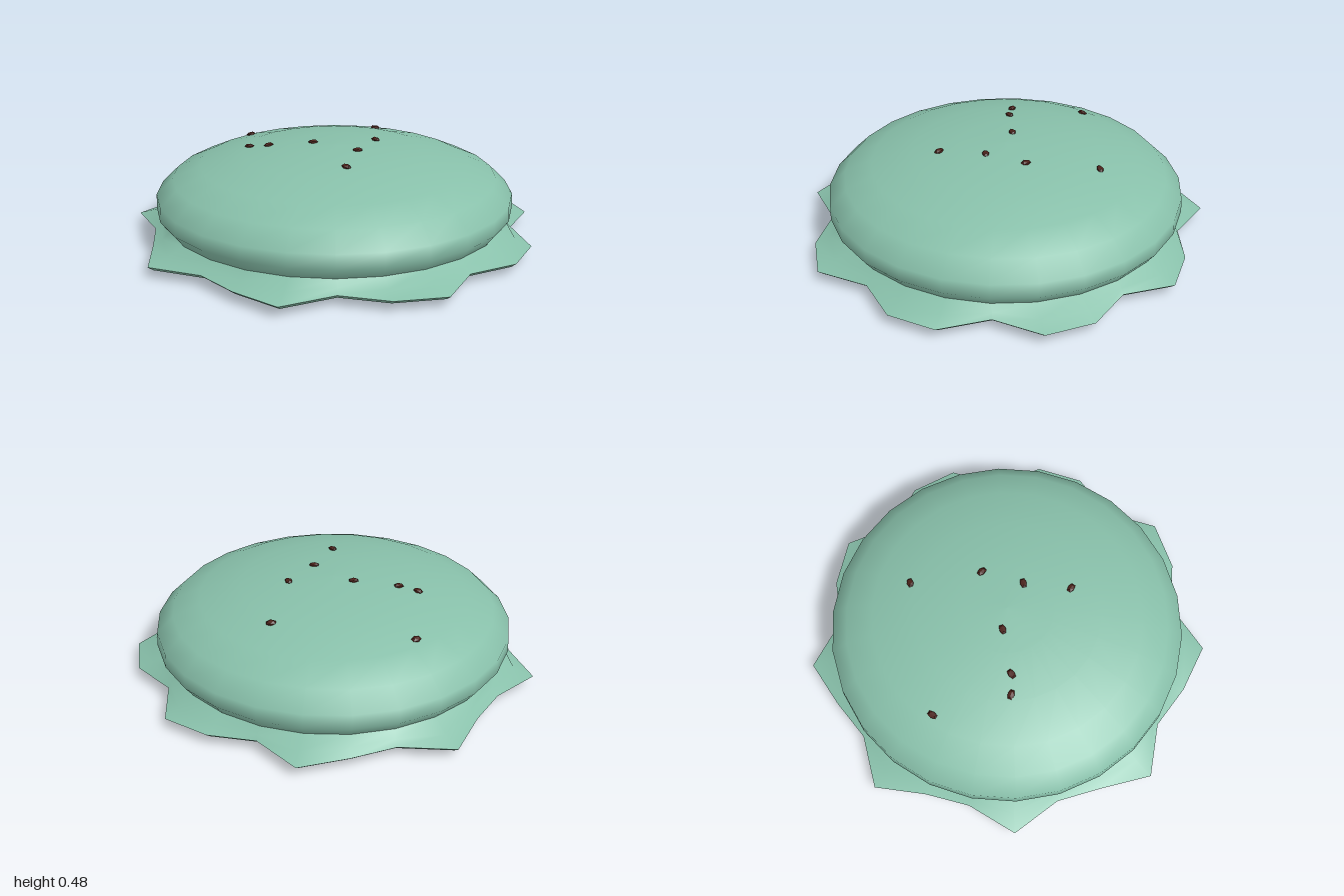
import * as THREE from 'three';

const SIDES = 26;
const PHASE = THREE.MathUtils.degToRad(7);
const CENTRE_Z = 0.012;

// Radius of the ragged skirt edge at each side, counter-clockwise from the front
const EDGE = [
  0.963, 1.033, 0.893, 0.981, 1.029, 0.9, 0.995, 0.995, 0.877, 0.996, 0.978, 0.871, 0.992,
  0.942, 0.867, 1.003, 0.929, 0.894, 1.026, 0.92, 0.907, 1.025, 0.906, 0.935, 1.039, 0.911,
];

// Dome profile as [radius, height], from the neck to the crown
const DOME = [
  [0.845, 0.115], [0.885, 0.17], [0.882, 0.24], [0.8, 0.32], [0.665, 0.38],
  [0.46, 0.432], [0.23, 0.458], [0, 0.463],
];

// Joins rings of { radius(i), y, z } into one smooth surface
function loft(rings) {
  const positions = [];
  const index = [];
  rings.forEach(({ radius, y, z = 0 }, j) => {
    for (let i = 0; i < SIDES; i++) {
      const a = PHASE + (i / SIDES) * Math.PI * 2;
      const r = radius(i);
      positions.push(r * Math.sin(a), y, z + r * Math.cos(a));
      if (j === 0) continue;
      const next = (i + 1) % SIDES;
      const lo = (j - 1) * SIDES;
      const hi = j * SIDES;
      index.push(lo + i, lo + next, hi + next, lo + i, hi + next, hi + i);
    }
  });
  const geometry = new THREE.BufferGeometry();
  geometry.setAttribute('position', new THREE.Float32BufferAttribute(positions, 3));
  geometry.setIndex(index);
  geometry.computeVertexNormals();
  return geometry;
}

// Height of the dome surface at a distance from its axis
function domeHeight(r) {
  for (let i = DOME.length - 1; i > 2; i--) {
    const [r0, y0] = DOME[i];
    const [r1, y1] = DOME[i - 1];
    if (r <= r1) return THREE.MathUtils.mapLinear(r, r0, r1, y0, y1);
  }
  return DOME[2][1];
}

export function createModel() {
  const model = new THREE.Group();
  model.name = 'seededDome';
  const green = new THREE.MeshStandardMaterial({ color: 0x88c0aa });
  green.name = 'sageGreen';
  const brown = new THREE.MeshStandardMaterial({ color: 0x4a2018 });
  brown.name = 'darkBrown';

  const add = (name, geometry, material, parent = model) => {
    const mesh = new THREE.Mesh(geometry, material);
    mesh.name = name;
    parent.add(mesh);
    return mesh;
  };

  // Rounded body
  add('dome', loft(DOME.map(([r, y]) => ({ radius: () => r, y, z: CENTRE_Z }))), green);

  // Ragged skirt: sloping top, thin rim and shallow underside
  const edge = (scale) => (i) => EDGE[i] * scale;
  add('skirtTop', loft([
    { radius: edge(1), y: 0.055 },
    { radius: (i) => EDGE[i] * 0.5 + 0.42, y: 0.08 },
    { radius: () => 0.845, y: 0.115, z: CENTRE_Z },
  ]), green);
  add('skirtRim', loft([
    { radius: edge(0.975), y: 0.035 },
    { radius: edge(1), y: 0.055 },
  ]), green);
  add('underside', loft([
    { radius: () => 0, y: 0 },
    { radius: edge(0.72), y: 0.003 },
    { radius: edge(0.975), y: 0.035 },
  ]), green);

  // Seeds as [x, z, turn], resting on the dome
  const seeds = new THREE.Group();
  seeds.name = 'seeds';
  model.add(seeds);
  const seedShape = new THREE.IcosahedronGeometry(1, 0).scale(0.027, 0.012, 0.019);
  [
    [-0.07, -0.48, 0.7], [0.12, -0.18, -0.4], [0.15, 0.03, 0.7], [-0.11, 0.04, 0.8],
    [-0.29, 0.17, 1.1], [-0.38, 0.21, 0.1], [0.23, 0.25, -0.2], [-0.615, -0.09, 1.4],
  ].forEach(([x, z, turn], i) => {
    const r = Math.hypot(x, z - CENTRE_Z);
    const seed = add(`seed${i + 1}`, seedShape, brown, seeds);
    seed.position.set(x, domeHeight(r) + 0.004, z);
    // Lean each seed along the slope
    const slope = (domeHeight(r - 0.03) - domeHeight(r + 0.03)) / 0.06;
    const normal = new THREE.Vector3((x / r) * slope, 1, ((z - CENTRE_Z) / r) * slope).normalize();
    seed.quaternion.setFromUnitVectors(new THREE.Vector3(0, 1, 0), normal);
    seed.rotateY(turn);
  });

  return model;
}
